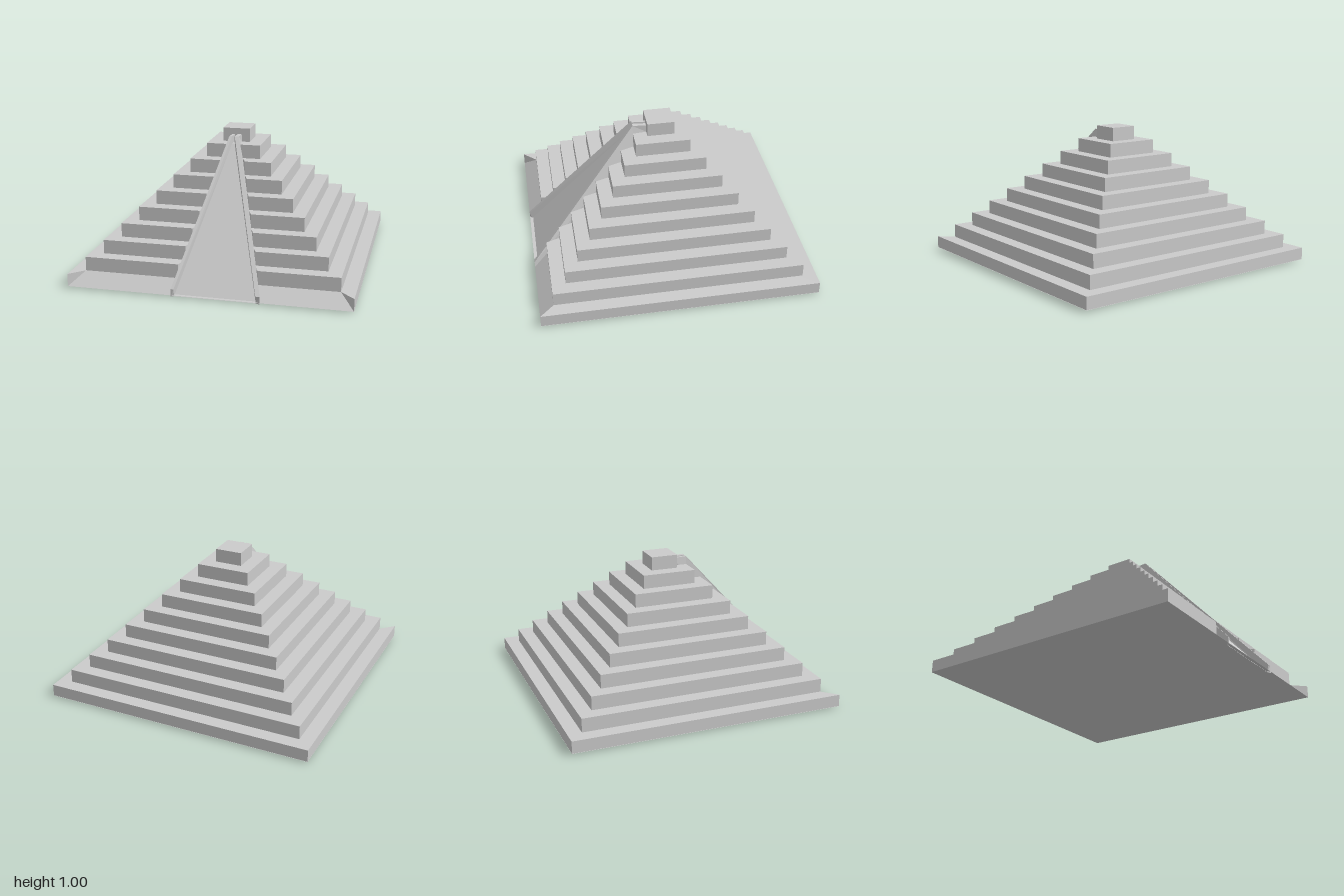
import * as THREE from 'three';

const material = new THREE.MeshStandardMaterial({ color: 0xcccccc, flatShading: true });
const thinMaterial = new THREE.MeshStandardMaterial({ color: 0xcccccc, flatShading: true, side: THREE.DoubleSide });

const TIERS = 10, STEP = 0.1, BASE = 0.01;

// Plan edges of the tapering ramp at depth z
const leftEdge = z => -0.25 + (1 - z) * 0.25;
const rightEdge = z => 0.37 - (1 - z) * 0.375;

function addMesh(group, name, geometry, mat = material) {
  const mesh = new THREE.Mesh(geometry, mat);
  mesh.name = name;
  group.add(mesh);
  return mesh;
}

// Flat-shaded surface from a list of triangles or quads
function surface(faces) {
  const p = [];
  for (const [a, b, c, d] of faces) {
    p.push(...a, ...b, ...c);
    if (d) p.push(...a, ...c, ...d);
  }
  const g = new THREE.BufferGeometry();
  g.setAttribute('position', new THREE.Float32BufferAttribute(p, 3));
  g.computeVertexNormals();
  return g;
}

// Horizontal slab from an x,z outline
function slab(outline, bottom, top) {
  const shape = new THREE.Shape(outline.map(([x, z]) => new THREE.Vector2(x, z)));
  const g = new THREE.ExtrudeGeometry(shape, { depth: top - bottom, bevelEnabled: false });
  return g.rotateX(Math.PI / 2).translate(0, top, 0);
}

// Wedge cut out of a tier to seat the ramp
function notch(z) {
  return [[rightEdge(z), z], [rightEdge(0.2), 0.2], [leftEdge(0.2), 0.2], [leftEdge(z), z]];
}

function addTiers(group) {
  for (let i = 0; i < TIERS; i++) {
    const h = 1 - i * STEP;
    const outline = [[-h, -h], [h, -h], [h, h]];
    if (i === 0) outline.push([0.9, 0.9], ...notch(0.9), [-0.9, 0.9]);
    else if (h > 0.25) outline.push(...notch(h));
    outline.push([-h, h]);
    addMesh(group, `tier${i + 1}`, slab(outline, i ? i * STEP : BASE + 0.002, (i + 1) * STEP));
  }
}

// Sloping front of the lowest tier, either side of the ramp
function addFrontSlopes(group) {
  const l = leftEdge(0.9), r = rightEdge(0.9);
  addMesh(group, 'frontSlopeRight', surface([
    [[-1, BASE, 1], [-0.25, BASE, 1], [-0.9, 0.1, 0.9]],
    [[-0.25, BASE, 1], [l, 0.1, 0.9], [-0.9, 0.1, 0.9]],
  ]), thinMaterial);
  addMesh(group, 'frontSlopeLeft', surface([
    [[0.37, BASE, 1], [1, BASE, 1], [0.9, 0.1, 0.9]],
    [[0.37, BASE, 1], [0.9, 0.1, 0.9], [r, 0.1, 0.9]],
  ]), thinMaterial);
}

// Ramp with raised side rails, lofted from foot to head to landing
function addRamp(group) {
  const section = (xs, ys, z, floorZ = z) => xs.map((x, i) => {
    const j = Math.min(i, 7 - i);
    return [x, ys[j], j === 3 ? floorZ : z];
  });
  const sections = [
    section([-0.25, -0.25, -0.23, -0.23, 0.34, 0.34, 0.37, 0.37], [0, 0.055, 0.055, 0], 1, 0.985),
    section([-0.05, -0.03, -0.01, -0.01, 0.01, 0.01, 0.04, 0.07], [0.8, 0.96, 0.96, 0.905], 0.2),
    section([-0.03, -0.03, -0.01, -0.01, 0.01, 0.01, 0.04, 0.04], [0.9, 0.955, 0.955, 0.905], 0.1),
  ];
  const faces = [];
  for (let s = 0; s < 2; s++) {
    const a = sections[s], b = sections[s + 1];
    for (let i = 0; i < 7; i++) faces.push([a[i], a[i + 1], b[i + 1], b[i]]);
  }
  // Front ends of the rails
  const f = sections[0];
  faces.push([f[0], f[3], f[2], f[1]], [f[4], f[7], f[6], f[5]]);
  addMesh(group, 'ramp', surface(faces), thinMaterial);
}

export function createModel() {
  const group = new THREE.Group();
  group.name = 'steppedPyramid';
  addTiers(group);
  addFrontSlopes(group);
  addRamp(group);
  // Underside
  const floor = new THREE.PlaneGeometry(2, 2).rotateX(Math.PI / 2).translate(0, BASE, 0);
  addMesh(group, 'underside', floor, thinMaterial);
  return group;
}
